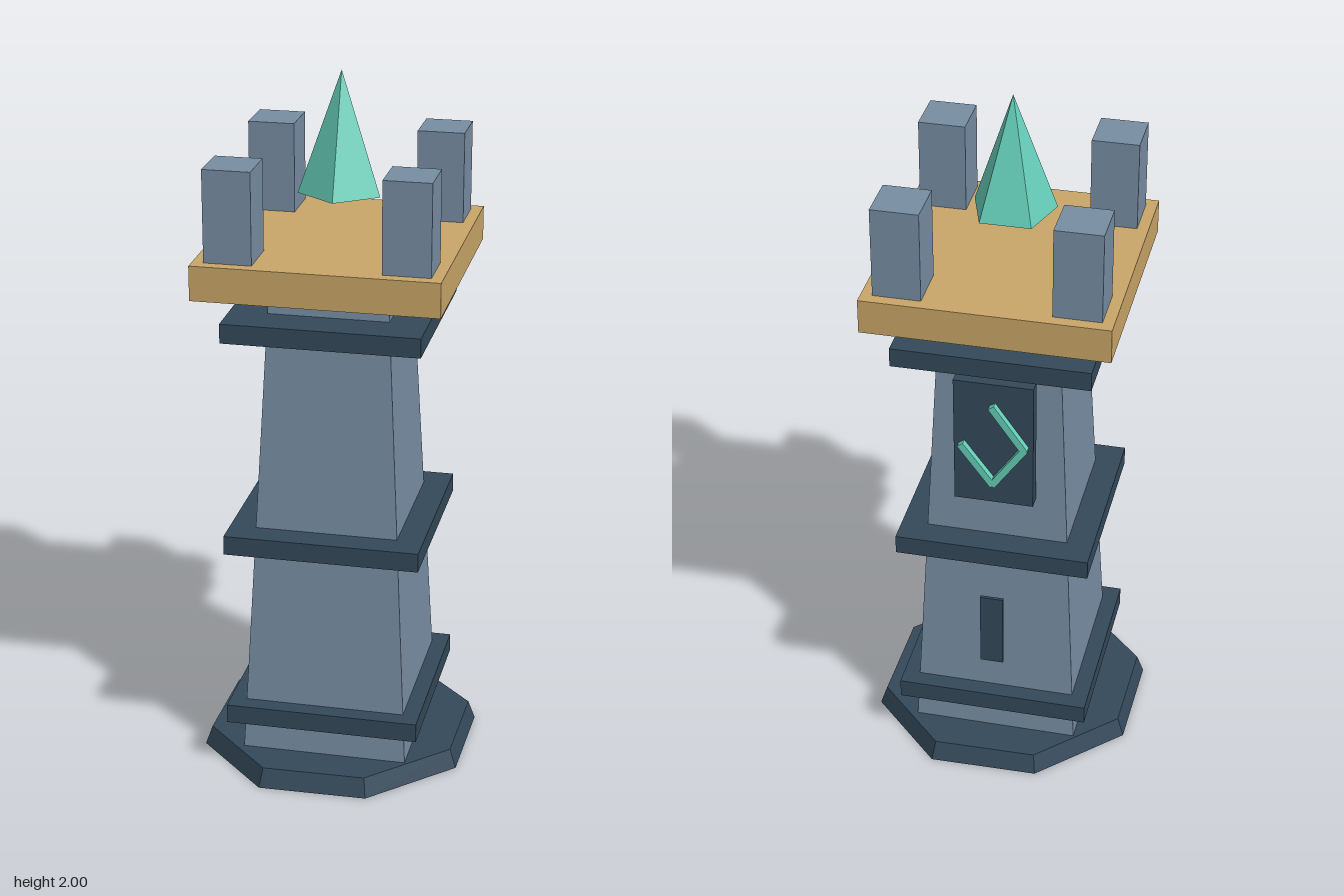
import * as THREE from 'three';

const material = (name, color) => {
  const m = new THREE.MeshStandardMaterial({ color });
  m.name = name;
  m.flatShading = true;
  return m;
};

export function createModel() {
  const stone = material('stone', 0x778da2);
  const darkStone = material('darkStone', 0x34495a);
  const timber = material('timber', 0xc9a668);
  const crystalGreen = material('crystalGreen', 0x66cfba);

  const model = new THREE.Group();
  model.name = 'watchtower';

  const add = (name, geometry, mat, x = 0, y = 0, z = 0) => {
    const mesh = new THREE.Mesh(geometry, mat);
    mesh.name = name;
    mesh.position.set(x, y, z);
    model.add(mesh);
    return mesh;
  };
  // Box given by its bottom and top heights
  const slab = (name, mat, w, y0, y1, d, x = 0, z = 0) =>
    add(name, new THREE.BoxGeometry(w, y1 - y0, d), mat, x, (y0 + y1) / 2, z);

  // Eight-sided foot, slightly stretched along one diagonal
  const foot = new THREE.CylinderGeometry(0.95, 1, 0.055, 8);
  foot.rotateY(Math.PI / 8).scale(0.409, 1, 0.394).rotateY(Math.PI / 4);
  add('foot', foot, darkStone, 0, 0.0275, 0);

  // Tapered square shaft
  const shaft = new THREE.CylinderGeometry(0.166, 0.238, 1.39, 4);
  shaft.rotateY(Math.PI / 4).scale(Math.SQRT2 * 0.99, 1, Math.SQRT2 * 1.02);
  add('shaft', shaft, stone, 0, 0.75, 0);

  // Bands around the shaft
  for (const y of [0.15, 0.68, 1.305]) slab('band', darkStone, 0.549, y, y + 0.055, 0.568);

  // Platform and corner battlements
  slab('platform', timber, 0.674, 1.443, 1.54, 0.698);
  for (const sx of [-1, 1]) {
    for (const sz of [-1, 1]) slab('battlement', stone, 0.131, 1.54, 1.795, 0.135, sx * 0.24, sz * 0.248);
  }

  // Floating five-sided crystal
  add('crystal', new THREE.ConeGeometry(0.12, 0.336, 5), crystalGreen, 0, 1.832, 0);

  // Back plaque with three angled bars
  slab('plaque', darkStone, 0.222, 0.873, 1.26, 0.038, 0, -0.226);
  const corners = [[0.087, 1.06], [0.0, 0.942], [-0.088, 1.067], [0.0, 1.193]];
  for (let i = 0; i < 3; i++) {
    const [x0, y0] = corners[i];
    const [x1, y1] = corners[i + 1];
    const length = Math.hypot(x1 - x0, y1 - y0) + 0.008;
    const bar = add('plaqueBar', new THREE.BoxGeometry(length, 0.02, 0.02), crystalGreen,
      (x0 + x1) / 2, (y0 + y1) / 2, -0.254);
    bar.rotation.z = Math.atan2(y1 - y0, x1 - x0);
  }

  // Narrow slit window low on the back
  slab('slitWindow', darkStone, 0.066, 0.33, 0.558, 0.009, 0, -0.277);

  return model;
}
